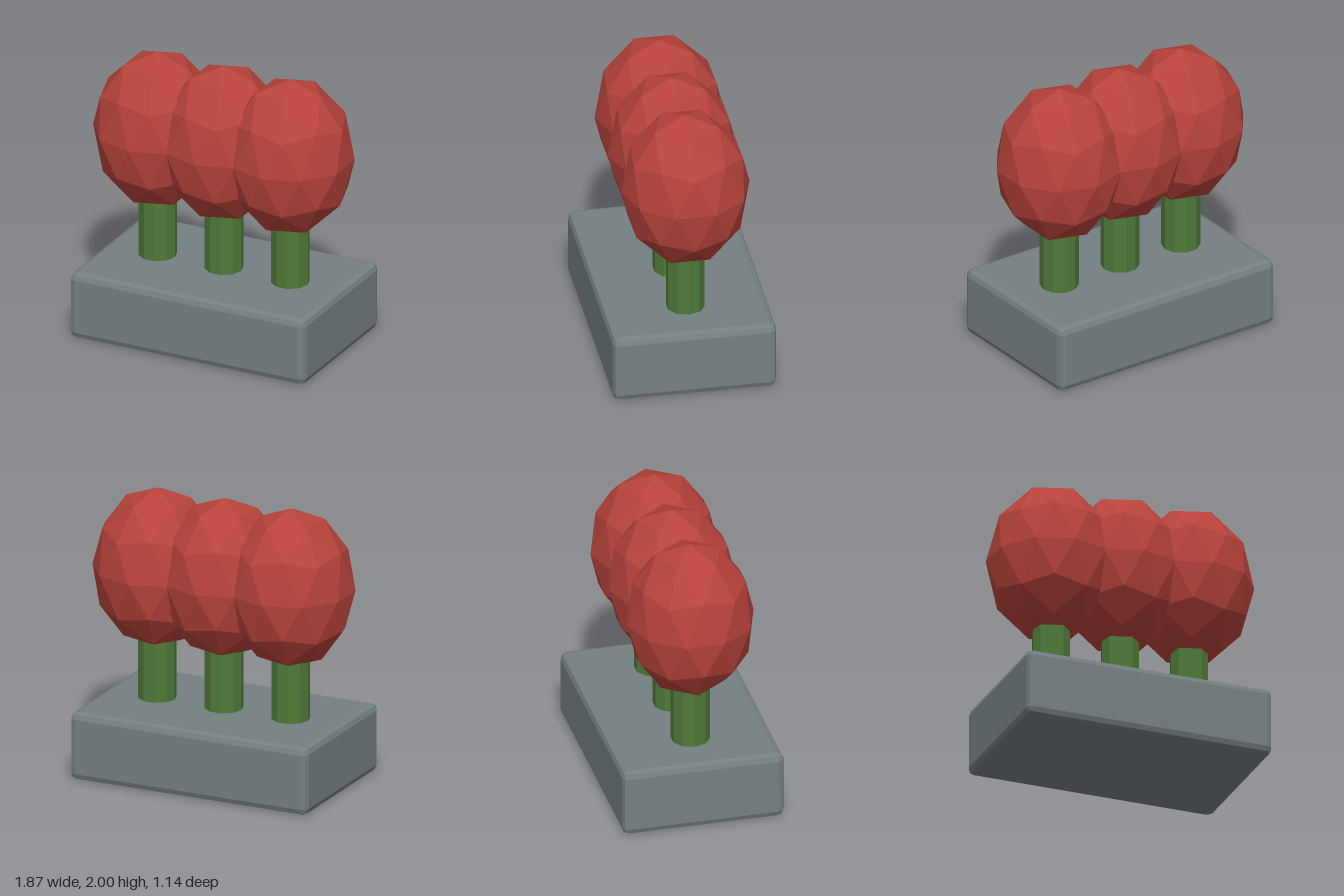
import * as THREE from 'three';
import { RoundedBoxGeometry } from 'three/addons/geometries/RoundedBoxGeometry.js';

const material = (name, color) => {
  const m = new THREE.MeshStandardMaterial({ color, flatShading: true });
  m.name = name;
  return m;
};

export function createModel() {
  const model = new THREE.Group();
  model.name = 'plantedBase';
  const stone = material('stoneGrey', 0x758082);
  const bark = material('stemGreen', 0x4f7a38);
  const leaf = material('crownRed', 0xb8433b);

  const add = (parent, name, geometry, mat, y) => {
    const mesh = new THREE.Mesh(geometry, mat);
    mesh.name = name;
    mesh.position.y = y;
    parent.add(mesh);
  };

  // Bevelled block
  add(model, 'base', new RoundedBoxGeometry(1.81, 0.487, 1.14, 1, 0.048), stone, 0.2435);

  // Ten-sided stem with corners on the x axis
  const stem = new THREE.CylinderGeometry(0.134, 0.134, 0.62, 10, 1, false, Math.PI / 2);

  // Stretched icosphere, turned so that a corner points straight up
  const crown = new THREE.IcosahedronGeometry(1, 1);
  crown.rotateZ(-Math.atan(2 / (1 + Math.sqrt(5))));
  crown.scale(0.447, 0.57, 0.447);

  // Row of three trees
  ['right', 'middle', 'left'].forEach((side, i) => {
    const tree = new THREE.Group();
    tree.name = side + 'Tree';
    tree.position.x = (i - 1) * 0.51;
    add(tree, 'stem', stem, bark, 0.74);
    add(tree, 'crown', crown, leaf, 1.43);
    model.add(tree);
  });

  return model;
}
